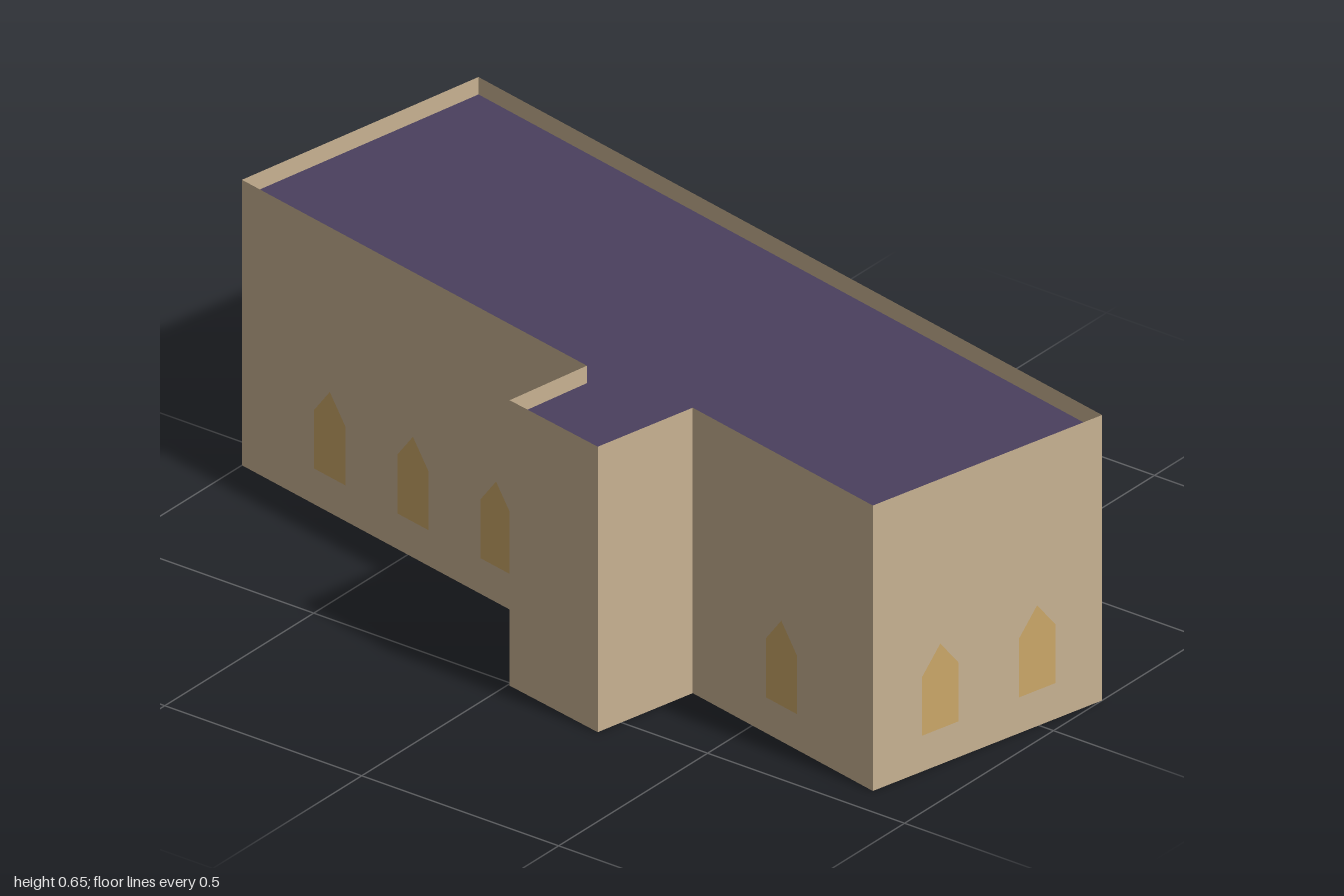
import * as THREE from 'three';

const HEIGHT = 0.655, ROOF_Y = 0.615;
// Footprint corners [x, z], anticlockwise from above, with window count of the wall that starts there
const PLAN = [
  [-0.885, -0.562, 2], // left end
  [-1.0, 0.08, 3],     // front, left of the porch
  [0.04, 0.297, 0],    // porch side
  [0.005, 0.51, 0],    // porch front
  [0.268, 0.562, 0],   // porch side
  [0.32, 0.312, 1],    // front, right of the porch
  [0.865, 0.428, 2],   // right end
  [1.0, -0.163, 7],    // back
];

export function createModel() {
  const model = new THREE.Group();
  model.name = 'building';
  const material = (name, color) => {
    const m = new THREE.MeshStandardMaterial({ color, side: THREE.DoubleSide });
    m.name = name;
    return m;
  };
  const wallMat = material('sandstone', 0xc8b292);
  const roofMat = material('slate purple', 0x4a405e);
  const windowMat = material('amber', 0xcba768);

  // Pointed window outline
  const windowGeo = new THREE.ShapeGeometry(new THREE.Shape([
    [-0.048, 0.085], [0.048, 0.085], [0.048, 0.22], [0, 0.28], [-0.048, 0.22],
  ].map(([x, y]) => new THREE.Vector2(x, y))));

  // Walls: one upright sheet per footprint edge, windows spaced about its middle
  PLAN.forEach(([x0, z0, count], i) => {
    const [x1, z1] = PLAN[(i + 1) % PLAN.length];
    const side = new THREE.Group();
    side.name = 'wallSide' + (i + 1);
    side.position.set((x0 + x1) / 2, 0, (z0 + z1) / 2);
    side.rotation.y = Math.atan2(z0 - z1, x1 - x0);

    const wall = new THREE.Mesh(new THREE.PlaneGeometry(Math.hypot(x1 - x0, z1 - z0), HEIGHT), wallMat);
    wall.name = 'wall';
    wall.position.y = HEIGHT / 2;
    side.add(wall);

    for (let k = 0; k < count; k++) {
      const pane = new THREE.Mesh(windowGeo, windowMat);
      pane.name = 'window';
      pane.position.set((k - (count - 1) / 2) * 0.256, 0, 0.004);
      side.add(pane);
    }
    model.add(side);
  });

  // Flat roof set below the parapet
  const outline = new THREE.Shape(PLAN.map(([x, z]) => new THREE.Vector2(x, -z)));
  const roof = new THREE.Mesh(new THREE.ShapeGeometry(outline).rotateX(-Math.PI / 2), roofMat);
  roof.name = 'roof';
  roof.position.y = ROOF_Y;
  model.add(roof);

  return model;
}
